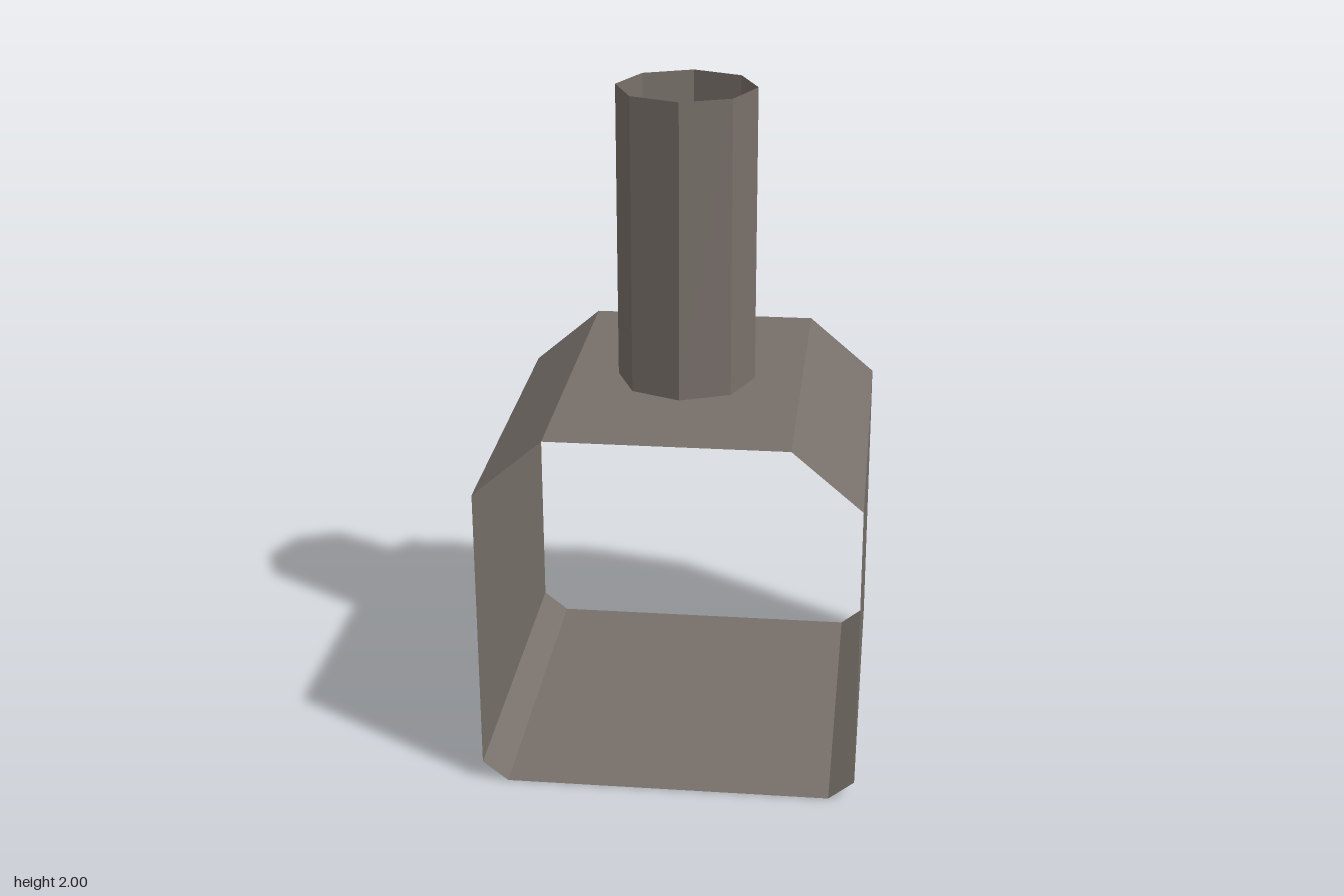
import * as THREE from 'three';

export function createModel() {
  const group = new THREE.Group();
  const metal = new THREE.MeshStandardMaterial({ color: 0x78706a, flatShading: true, side: THREE.DoubleSide });
  metal.name = 'grey brown metal';

  const depth = 1.11, topY = 1.11, radius = 0.207, sides = 8;

  const add = (name, geometry) => {
    const mesh = new THREE.Mesh(geometry, metal);
    mesh.name = name;
    group.add(mesh);
    return mesh;
  };

  // Flat sheet spanning two points of the tunnel section, facing outward
  const panel = (name, [x1, y1], [x2, y2]) => {
    const dx = x2 - x1, dy = y2 - y1;
    const geometry = new THREE.PlaneGeometry(Math.hypot(dx, dy), depth)
      .rotateX(-Math.PI / 2)
      .rotateZ(Math.atan2(dy, dx))
      .translate((x1 + x2) / 2, (y1 + y2) / 2, 0);
    add(name, geometry);
  };

  // Open tunnel: walls, chamfers and floor, clockwise from the top right
  const section = [
    [0.35, topY], [0.555, 0.935], [0.555, 0.06], [0.48, 0],
    [-0.48, 0], [-0.555, 0.06], [-0.555, 0.935], [-0.35, topY],
  ];
  const names = ['leftShoulder', 'leftWall', 'leftFloorChamfer', 'floor',
    'rightFloorChamfer', 'rightWall', 'rightShoulder'];
  names.forEach((name, i) => panel(name, section[i], section[i + 1]));

  // Roof sheet with an octagonal opening under the pipe
  const w = 0.35, d = depth / 2;
  const roof = new THREE.Shape([[-w, -d], [w, -d], [w, d], [-w, d]].map(p => new THREE.Vector2(...p)));
  const opening = [];
  for (let i = 0; i < sides; i++) {
    const a = -i / sides * Math.PI * 2;
    opening.push(new THREE.Vector2(Math.cos(a) * radius, Math.sin(a) * radius));
  }
  roof.holes.push(new THREE.Path(opening));
  add('roof', new THREE.ShapeGeometry(roof).rotateX(-Math.PI / 2).translate(0, topY, 0));

  // Open-ended octagonal pipe
  const height = 2 - topY;
  add('pipe', new THREE.CylinderGeometry(radius, radius, height, sides, 1, true)
    .translate(0, topY + height / 2, 0));

  return group;
}
